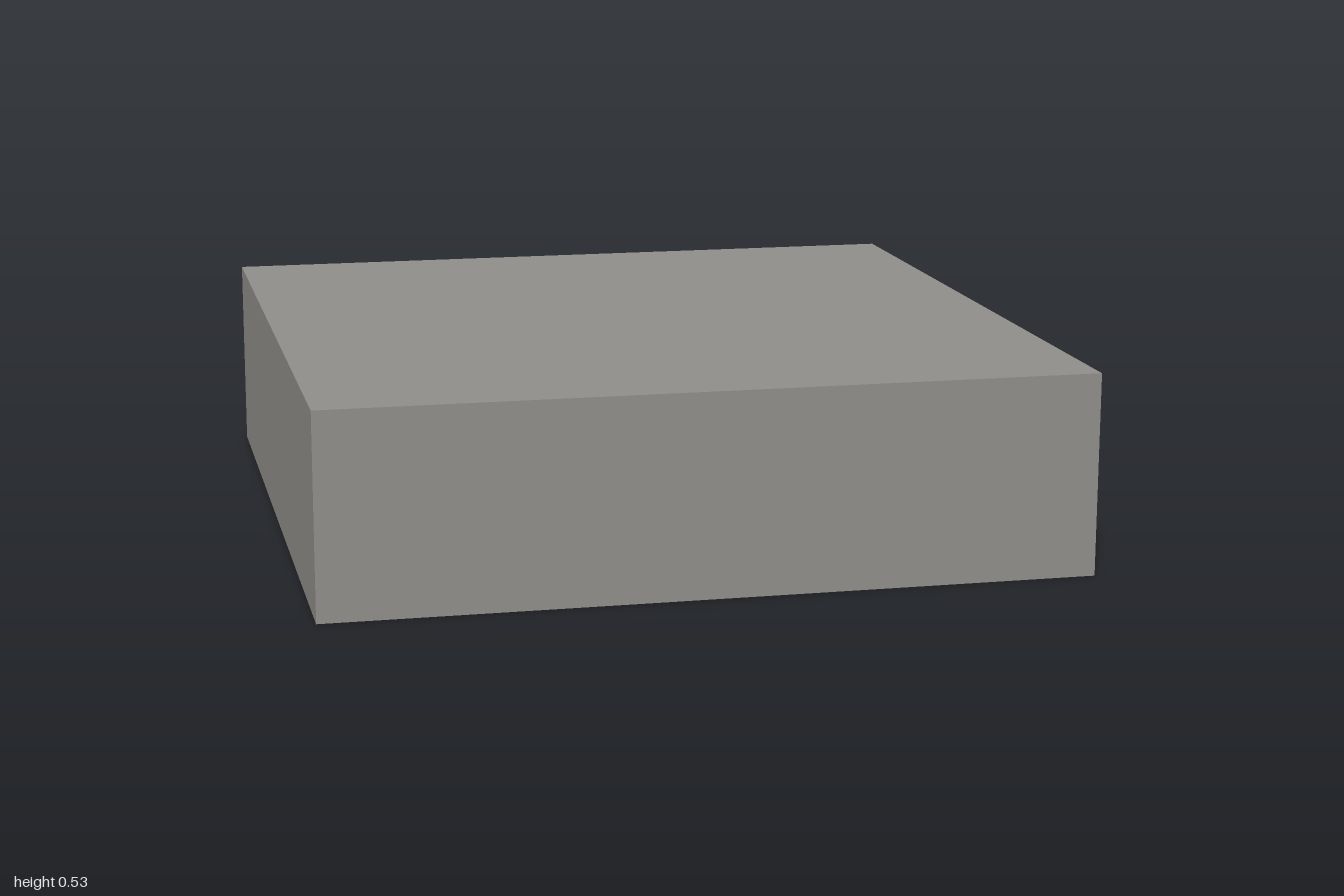
import * as THREE from 'three';

const HEIGHT = 0.532;
const POST = 0.056; // depth of a post recess, and half its width

export function createModel() {
  const model = new THREE.Group();
  const concrete = new THREE.MeshStandardMaterial({ color: 0x8f8d89, side: THREE.DoubleSide });
  concrete.name = 'concrete grey';

  // Flat horizontal slab at height y
  function slab(name, y) {
    const mesh = new THREE.Mesh(new THREE.PlaneGeometry(2, 2), concrete);
    mesh.name = name;
    mesh.rotation.x = -Math.PI / 2;
    mesh.position.y = y;
    model.add(mesh);
  }

  // Full-height sheet between two plan points [x, z]
  function wall(name, [x1, z1], [x2, z2], parent = model) {
    const length = Math.hypot(x2 - x1, z2 - z1);
    const mesh = new THREE.Mesh(new THREE.PlaneGeometry(length, HEIGHT), concrete);
    mesh.name = name;
    mesh.position.set((x1 + x2) / 2, HEIGHT / 2, (z1 + z2) / 2);
    mesh.rotation.y = -Math.atan2(z2 - z1, x2 - x1);
    parent.add(mesh);
  }

  // Post folded from sheets along a plan path
  function post(name, path) {
    const group = new THREE.Group();
    group.name = name;
    for (let i = 1; i < path.length; i++) wall(name + 'Side' + i, path[i - 1], path[i], group);
    model.add(group);
  }

  slab('floor', 0);
  slab('roof', HEIGHT);

  // Two closed sides and the inner partition with a gap at the front
  wall('frontWall', [-1, 1], [1, 1]);
  wall('rightWall', [-1, -1], [-1, 1]);
  wall('partition', [0, -1 + POST], [0, 0.81]);

  // Channel posts in the middle of the open sides, and an angle post at their corner
  const inner = 1 - POST;
  const channel = [[1, POST], [inner, POST], [inner, -POST], [1, -POST]];
  post('leftPost', channel);
  post('backPost', channel.map(([x, z]) => [z, -x]));
  post('cornerPost', [[1, -inner], [inner, -inner], [inner, -1]]);

  return model;
}
